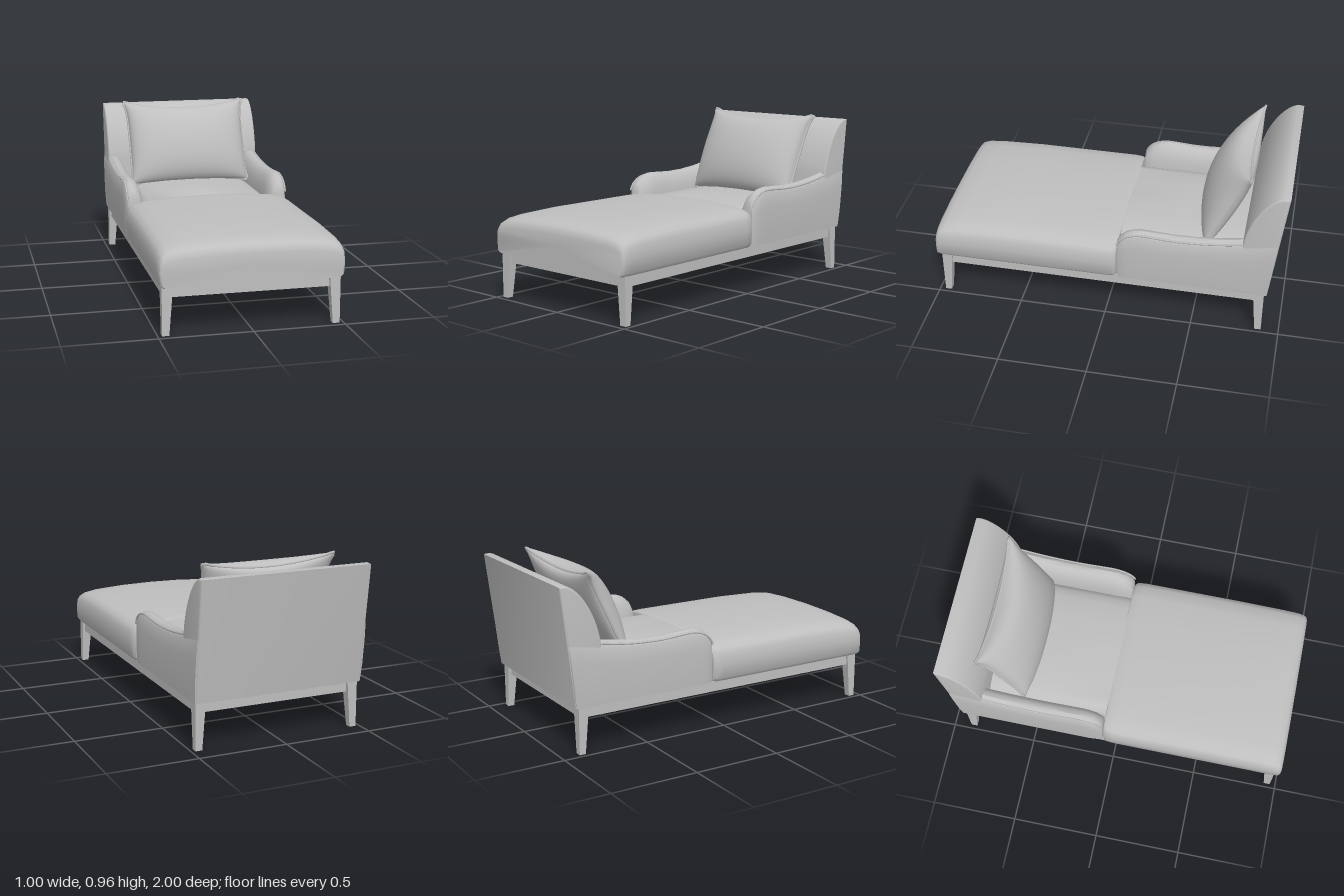
import * as THREE from 'three';
import { toCreasedNormals } from 'three/addons/utils/BufferGeometryUtils.js';

const fabric = new THREE.MeshStandardMaterial({ color: 0xbfbfbf });
fabric.name = 'plain grey';

// Skin closed rings of [x, y, z] points, cap both ends and face the result outwards
function loft(rings, crease = 0.7) {
  const n = rings[0].length, pts = rings.flat(), tris = [];
  for (let r = 0; r < rings.length - 1; r++) {
    for (let i = 0; i < n; i++) {
      const a = r * n + i, b = r * n + (i + 1) % n;
      tris.push([a, b, b + n], [a, b + n, a + n]);
    }
  }
  const cap = (ring, start, flip) => {
    const c = [0, 1, 2].map(k => ring.reduce((s, p) => s + p[k], 0) / n);
    pts.push(c);
    for (let i = 0; i < n; i++) {
      const a = start + i, b = start + (i + 1) % n;
      tris.push(flip ? [b, a, pts.length - 1] : [a, b, pts.length - 1]);
    }
  };
  const last = rings.length - 1;
  cap(rings[0], 0, true);
  cap(rings[last], last * n, false);
  const v = pts.map(p => new THREE.Vector3(...p));
  let volume = 0;
  for (const [a, b, c] of tris) volume += v[a].dot(v[b].clone().cross(v[c]));
  const index = tris.flatMap(([a, b, c]) => (volume < 0 ? [a, c, b] : [a, b, c]));
  const geo = new THREE.BufferGeometry().setFromPoints(v);
  geo.setIndex(index);
  return toCreasedNormals(geo.toNonIndexed(), crease);
}

// Seat: crowned cross-sections along z, narrowing between the arms
function seatGeometry() {
  const half = (w) => [[w - 0.02, 0.26], [w - 0.005, 0.28], [w, 0.36], [w - 0.005, 0.42], [w - 0.02, 0.45],
    [w - 0.05, 0.469], [w * 0.75, 0.484], [w * 0.4, 0.496], [0, 0.5]];
  const stations = [[0.997, 0.483, 0.66], [0.99, 0.492, 0.77], [0.975, 0.496, 0.85], [0.94, 0.498, 0.91],
    [0.85, 0.498, 0.96], [0.6, 0.498, 1], [0, 0.498, 0.99], [-0.045, 0.494, 0.98], [-0.06, 0.482, 0.96],
    [-0.064, 0.385, 0.97], [-0.4, 0.385, 0.97], [-0.86, 0.385, 0.97]];
  return loft(stations.map(([z, w, t]) => {
    const right = half(w).map(([x, y]) => [x, 0.26 + (y - 0.26) * t, z]);
    const left = right.slice(0, -1).reverse().map(([x, y]) => [-x, y, z]);
    return [...right, ...left];
  }));
}

// Arms: sweeping crest heights along z, with a rolled cross-section
const crest = [[-0.066, 0.5], [-0.08, 0.53], [-0.115, 0.562], [-0.16, 0.58], [-0.2, 0.586], [-0.28, 0.582],
  [-0.38, 0.576], [-0.5, 0.578], [-0.62, 0.588], [-0.74, 0.606], [-0.84, 0.628], [-0.92, 0.65]];
function armGeometry(side) {
  const section = [[0.486, 0.26], [0.492, 0.35], [0.492, 0.48], [0.488, 0.56], [0.475, 0.59], [0.455, 0.6],
    [0.43, 0.593], [0.405, 0.568], [0.388, 0.52], [0.376, 0.46], [0.37, 0.26]];
  return loft(crest.map(([z, h], k) => section.map(([x, y]) => {
    const narrow = [0.72, 0.86, 0.96][k] ?? 1;
    const yy = 0.26 + (y - 0.26) * (h - 0.26) / 0.34;
    const zz = k === crest.length - 1 ? -0.915 - 0.11 * (yy - 0.26) : z;
    return [side * (0.44 + (x - 0.44) * narrow), yy, zz];
  })));
}

// Backrest: side profile extruded across the width with a soft edge
function backGeometry() {
  const shape = new THREE.Shape();
  shape.moveTo(0.907, 0.272);
  shape.lineTo(0.985, 0.912);
  shape.lineTo(0.965, 0.914);
  shape.bezierCurveTo(0.9, 0.9, 0.8, 0.77, 0.775, 0.6);
  shape.lineTo(0.77, 0.272);
  shape.closePath();
  const geo = new THREE.ExtrudeGeometry(shape, { depth: 0.954, curveSegments: 12,
    bevelThickness: 0.01, bevelSize: 0.012, bevelSegments: 3 });
  geo.translate(0, 0, -0.477).rotateY(Math.PI / 2).rotateY(0);
  // extrusion runs along x; profile depth points to -z
  return toCreasedNormals(geo, 0.7);
}

// Pillow: point on the leaning cushion, u across, v up, n out of the seam plane
function pillowPoint(u, v, n) {
  const x = u * (0.363 + 0.024 * v ** 4 * (v > 0 ? 1 : 0.4));
  const s = 0.268 + v * 0.268 - (v > 0 ? 0.055 * v ** 3 * (1 - u * u) : 0);
  return new THREE.Vector3(x, 0.47 + 0.903 * s + 0.428 * n, -0.55 - 0.428 * s + 0.903 * n);
}
function pillowFace(bulge) {
  const geo = new THREE.PlaneGeometry(2, 2, 28, 28);
  const pos = geo.attributes.position;
  for (let i = 0; i < pos.count; i++) {
    // ease the grid towards the seam for a round edge
    const u = Math.sin(pos.getX(i) * Math.PI / 2), v = Math.sin(pos.getY(i) * Math.PI / 2);
    const n = bulge * Math.pow(Math.max(0, (1 - u * u) * (1 - v * v)), 0.42);
    const p = pillowPoint(bulge > 0 ? u : -u, v, n);
    pos.setXYZ(i, p.x, p.y, p.z);
  }
  geo.computeVertexNormals();
  return geo;
}
function pillowPiping() {
  const path = [], corners = [[-1, -1], [1, -1], [1, 1], [-1, 1]];
  corners.forEach(([u, v], k) => {
    const [u2, v2] = corners[(k + 1) % 4];
    for (let i = 0; i < 12; i++) path.push(pillowPoint(u + (u2 - u) * i / 12, v + (v2 - v) * i / 12, 0));
  });
  return new THREE.TubeGeometry(new THREE.CatmullRomCurve3(path, true), 120, 0.008, 6, true);
}

// Legs: square posts tapering to the foot, outer faces upright
function legGeometry(sx, sz, outerZ) {
  const ring = (y, wx, wz) => [[0, 0], [wx, 0], [wx, wz], [0, wz]]
    .map(([a, b]) => [sx * (0.478 - a), y, outerZ - sz * b]);
  return loft([ring(0, 0.038, 0.036), ring(0.2, 0.054, 0.054), ring(0.265, 0.059, 0.06)], 0.3);
}

export function createModel() {
  const model = new THREE.Group();
  model.name = 'chaiseLounge';
  const add = (name, geo, parent = model) => {
    const mesh = new THREE.Mesh(geo, fabric);
    mesh.name = name;
    parent.add(mesh);
    return mesh;
  };

  add('seatCushion', seatGeometry());
  add('backrest', backGeometry());

  for (const side of [1, -1]) {
    const label = side > 0 ? 'left' : 'right';
    add(label + 'Arm', armGeometry(side));
    // Piping along the outer shoulder of the arm
    const seam = crest.map(([z, h]) => new THREE.Vector3(side * 0.481, h - 0.016, z));
    add(label + 'ArmPiping', new THREE.TubeGeometry(new THREE.CatmullRomCurve3(seam), 40, 0.006, 6));
    add(label + 'FrontLeg', legGeometry(side, 1, 0.967));
    add(label + 'BackLeg', legGeometry(side, -1, -0.9));
    // Side rail of the base
    add(label + 'Rail', new THREE.BoxGeometry(0.03, 0.065, 1.83).translate(side * 0.45, 0.2325, 0.033));
  }
  add('frontRail', new THREE.BoxGeometry(0.87, 0.065, 0.03).translate(0, 0.2325, 0.933));
  add('backRail', new THREE.BoxGeometry(0.87, 0.065, 0.03).translate(0, 0.2325, -0.867));
  // Underside panel, closing the seat above the rails
  add('bottomPanel', new THREE.BoxGeometry(0.95, 0.008, 1.86).translate(0, 0.26, 0.03));

  const pillow = new THREE.Group();
  pillow.name = 'pillow';
  model.add(pillow);
  add('pillowFront', pillowFace(0.145), pillow);
  add('pillowBack', pillowFace(-0.07), pillow);
  add('pillowPiping', pillowPiping(), pillow);
  return model;
}
